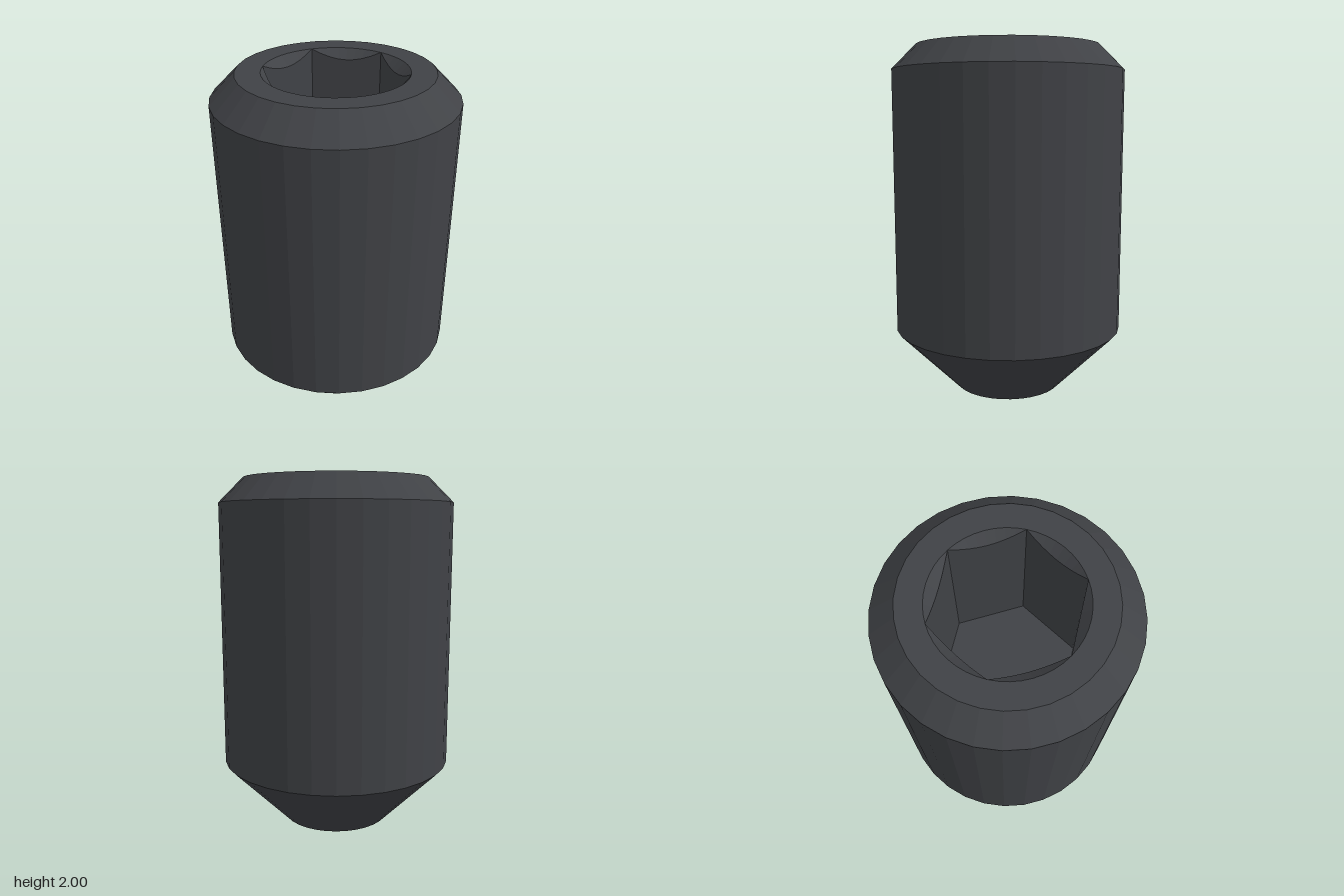
import * as THREE from 'three';

const SIDES = 32;       // facets of the screw body
const HEX_R = 0.39;     // socket radius across corners
const APOTHEM = HEX_R * Math.cos(Math.PI / 6);
const TOP = 2;
const SOCKET_FLOOR = 1.17;

// Radius of the hexagon at a given angle, with corners on the x axis
function hexRadius(angle) {
  const sector = Math.PI / 3;
  return APOTHEM / Math.cos((angle % sector) - sector / 2);
}

// Flat facets: every triangle keeps its own normal
function faceted(geometry) {
  const g = geometry.index ? geometry.toNonIndexed() : geometry;
  g.computeVertexNormals();
  return g;
}

function circlePoints(radius, count) {
  return Array.from({ length: count }, (_, i) => {
    const a = (i / count) * Math.PI * 2;
    return new THREE.Vector2(radius * Math.cos(a), radius * Math.sin(a));
  });
}

// Joins rings (radius and height given by angle) into an inward-facing wall
function inwardWall(ringA, ringB, count) {
  const positions = [];
  const indices = [];
  for (let i = 0; i < count; i++) {
    const a = (i / count) * Math.PI * 2;
    for (const ring of [ringA, ringB]) {
      const [r, y] = ring(a);
      positions.push(r * Math.cos(a), y, r * Math.sin(a));
    }
    const p = i * 2;
    const q = ((i + 1) % count) * 2;
    indices.push(p, p + 1, q, q, p + 1, q + 1);
  }
  const g = new THREE.BufferGeometry();
  g.setAttribute('position', new THREE.Float32BufferAttribute(positions, 3));
  g.setIndex(indices);
  return faceted(g);
}

export function createModel() {
  const group = new THREE.Group();
  group.name = 'setScrew';
  const material = new THREE.MeshStandardMaterial({ color: 0x404246, flatShading: true });

  const add = (name, geometry) => {
    const mesh = new THREE.Mesh(geometry, material);
    mesh.name = name;
    group.add(mesh);
    return mesh;
  };

  // Body: hollow cup point, tapered tip, shank and top chamfer
  const profile = [
    [0, 0.18], [0.31, 0], [0.665, 0.36], [0.665, 1.86], [0.525, TOP],
  ].map(([r, y]) => new THREE.Vector2(r, y));
  add('body', faceted(new THREE.LatheGeometry(profile, SIDES)));

  // Flat top ring around the socket
  const ring = new THREE.Shape(circlePoints(0.525, SIDES));
  ring.holes.push(new THREE.Path(circlePoints(HEX_R, 48).reverse()));
  add('topRing', new THREE.ShapeGeometry(ring).rotateX(-Math.PI / 2).translate(0, TOP, 0));

  // 45 degree countersink, cut off in arcs where it meets the hexagon
  const edge = () => [HEX_R, TOP];
  const rim = (a) => [hexRadius(a), TOP - (HEX_R - hexRadius(a))];
  const base = (a) => [hexRadius(a), SOCKET_FLOOR];
  add('socketCountersink', inwardWall(edge, rim, 48));

  // Hexagonal socket walls and floor
  add('socketWalls', inwardWall(rim, base, 48));
  add('socketFloor', new THREE.CircleGeometry(HEX_R, 6).rotateX(-Math.PI / 2).translate(0, SOCKET_FLOOR, 0));

  return group;
}
